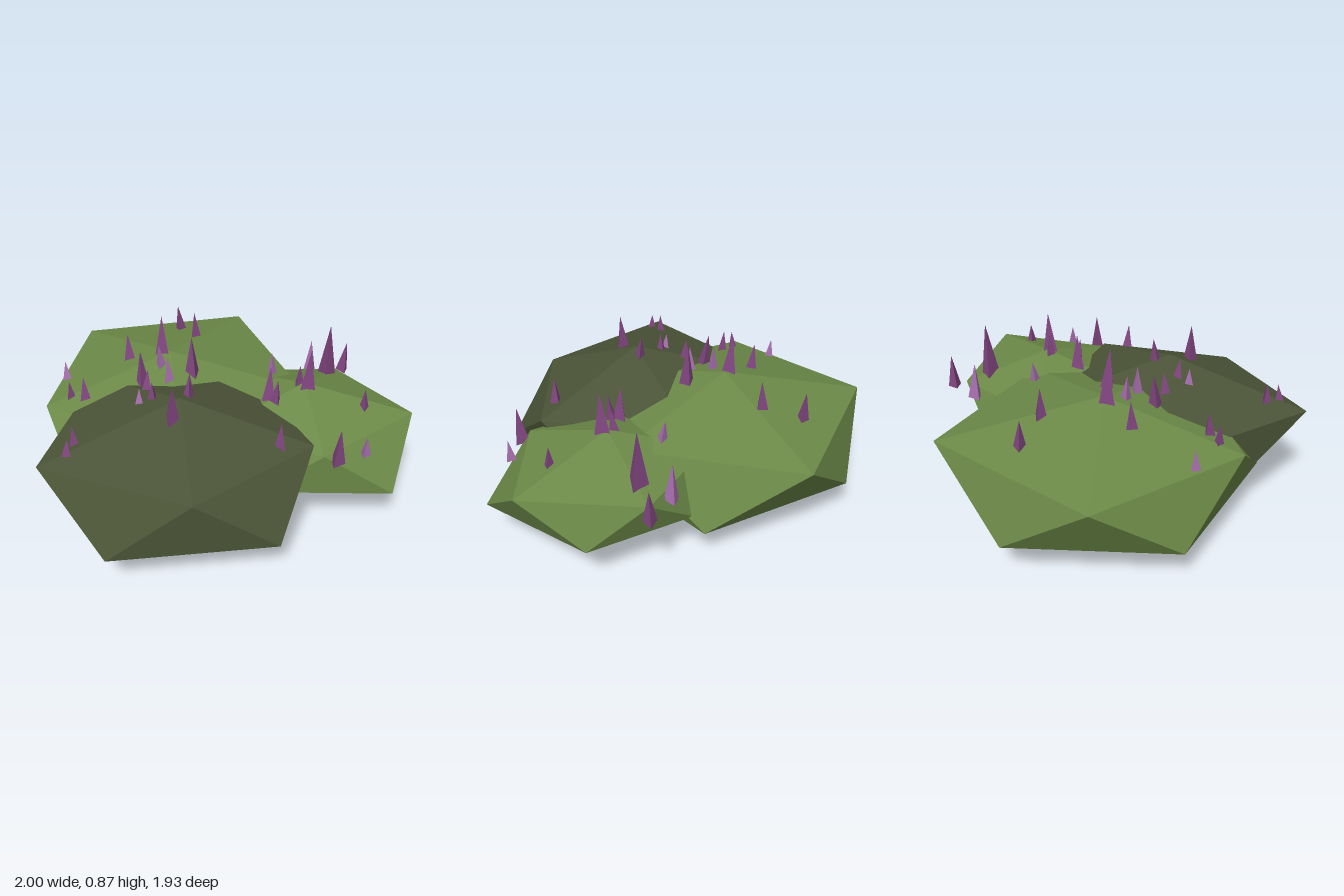
import * as THREE from 'three';

const mat = (name, color) => {
  const m = new THREE.MeshStandardMaterial({ color });
  m.name = name;
  m.flatShading = true;
  return m;
};

// Squashed, uneven icosahedron: a pole at each end and two staggered rings of five
function clumpGeometry([cx, cy, cz], top, bottom, upper, lower) {
  const slope = 0.223; // height of a ring corner per unit of its radius
  const ring = (radii, offset, sign) => radii.map((r, i) => {
    const a = (i * 72 + offset) * Math.PI / 180;
    return [cx + r * Math.cos(a), cy + sign * slope * r, cz + r * Math.sin(a)];
  });
  const U = ring(upper, 0, 1), L = ring(lower, 36, -1);
  const T = [cx, top, cz], B = [cx, bottom, cz];
  const pos = [];
  for (let i = 0; i < 5; i++) {
    const j = (i + 1) % 5;
    pos.push(T, U[j], U[i], U[j], L[i], U[i], L[i], U[j], L[j], B, L[i], L[j]);
  }
  const g = new THREE.BufferGeometry();
  g.setAttribute('position', new THREE.Float32BufferAttribute(pos.flat(), 3));
  g.computeVertexNormals();
  return g;
}

export function createModel() {
  const group = new THREE.Group();
  const green = mat('leaf green', 0x6c8a48);
  const olive = mat('dark olive', 0x4b5437);
  const purple = mat('flower purple', 0x834782);
  const lilac = mat('flower lilac', 0xa970b0);

  const add = (name, geometry, material) => {
    const mesh = new THREE.Mesh(geometry, material);
    mesh.name = name;
    group.add(mesh);
    return mesh;
  };

  // Foliage clumps; ring radii start at +x and turn towards +z
  const clumps = [
    add('backClump', clumpGeometry([-0.31, 0.352, -0.195], 0.67, 0,
      [0.72, 0.7, 0.7, 0.744, 0.81], [0.72, 0.83, 0.69, 0.71, 0.74]), green),
    add('sideClump', clumpGeometry([0.43, 0.353, -0.11], 0.6, 0.105,
      [0.565, 0.466, 0.5, 0.5, 0.459], [0.612, 0.52, 0.52, 0.467, 0.483]), green),
    add('frontClump', clumpGeometry([-0.14, 0.353, 0.31], 0.695, 0.033,
      [0.66, 0.56, 0.726, 0.705, 0.68], [0.69, 0.685, 0.58, 0.68, 0.68]), olive),
  ];

  // Height of the foliage below a point; spikes past the rim start at its level
  const down = new THREE.Vector3(0, -1, 0);
  const foliageHeight = (x, z) => {
    const ray = new THREE.Raycaster(new THREE.Vector3(x, 2, z), down);
    const hit = ray.intersectObjects(clumps)[0];
    return Math.max(hit ? hit.point.y : 0, 0.43);
  };

  // Three-sided flower spikes: x, z and tip height; taller ones are wider
  const addSpikes = (name, points, material) => points.forEach(([x, z, tip], i) => {
    const base = foliageHeight(x, z) - 0.01;
    const h = Math.max(tip - base, 0.09);
    const spike = add(name + (i + 1), new THREE.ConeGeometry(0.014 + 0.14 * h, h, 3), material);
    spike.position.set(x, base + h / 2, z);
    spike.rotation.set(0.08 * Math.sin(i * 2.3), i * 1.7, 0.08 * Math.cos(i * 1.9));
  });

  addSpikes('purpleSpike', [
    [-0.37, -0.67, 0.71], [-0.24, -0.5, 0.76], [-0.54, -0.19, 0.75], [-0.35, -0.2, 0.87],
    [-0.16, -0.07, 0.83], [-0.41, 0.03, 0.77], [-0.765, 0.15, 0.63], [-0.685, 0.15, 0.66],
    [-0.35, 0.13, 0.73], [-0.29, 0.26, 0.74], [-0.11, 0.235, 0.79], [-0.15, 0.435, 0.83],
    [-0.595, 0.58, 0.65], [-0.6, 0.655, 0.62], [0.365, 0.38, 0.66], [0.62, -0.6, 0.6],
    [0.53, -0.425, 0.78], [0.4, -0.11, 0.7], [0.45, -0.09, 0.8], [0.26, -0.015, 0.73],
    [0.3, 0.02, 0.68], [0.745, -0.055, 0.62], [0.64, 0.33, 0.62],
  ], purple);
  addSpikes('lilacSpike', [
    [-0.34, -0.085, 0.76], [-0.27, 0.02, 0.75], [-0.86, -0.06, 0.62], [-0.35, 0.28, 0.71],
    [0.43, -0.55, 0.62], [0.235, -0.295, 0.65], [0.77, 0.235, 0.53],
  ], lilac);
  return group;
}
